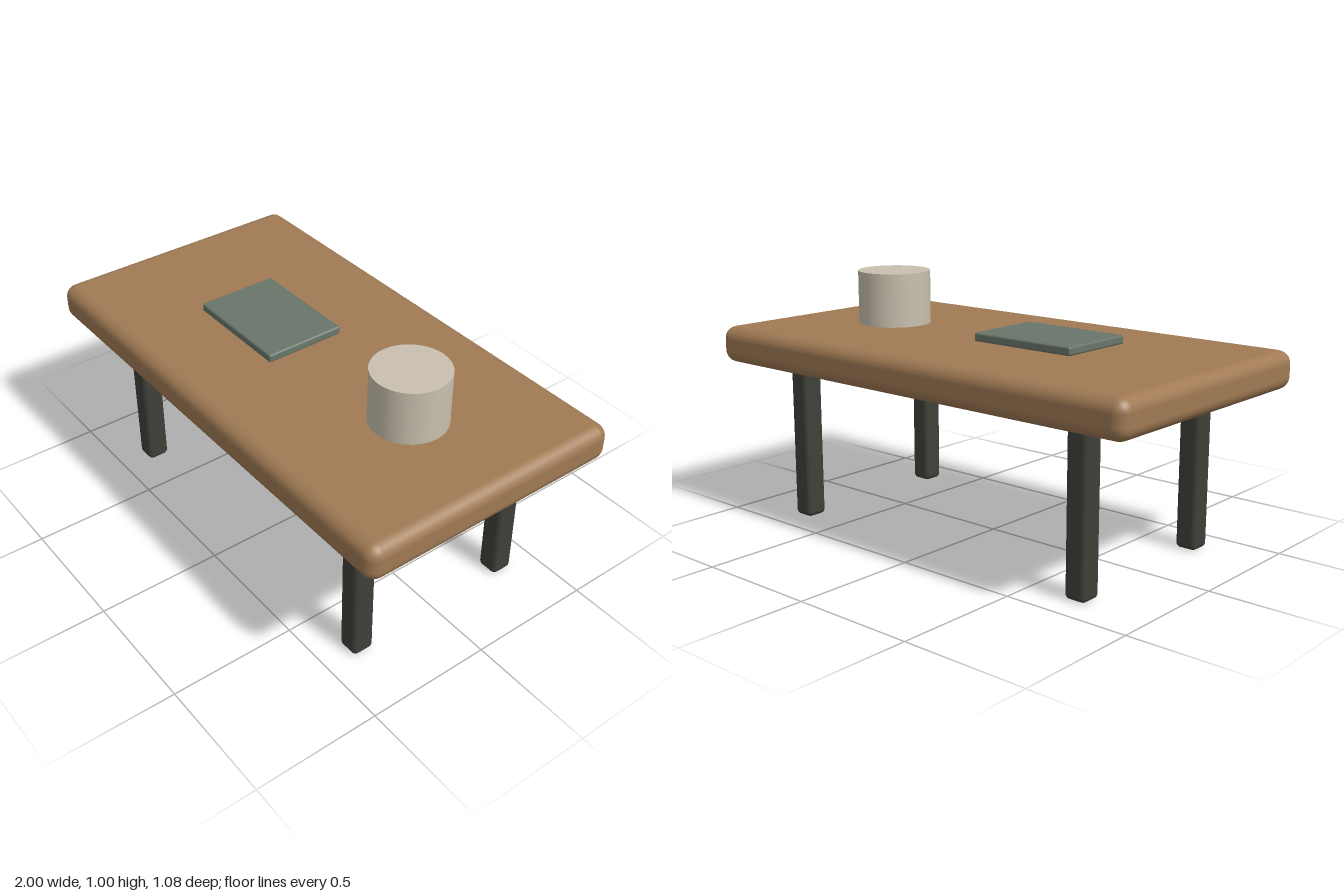
import * as THREE from 'three';
import { RoundedBoxGeometry } from 'three/addons/geometries/RoundedBoxGeometry.js';

function material(name, color) {
  const m = new THREE.MeshStandardMaterial({ color });
  m.name = name;
  return m;
}

export function createModel() {
  const table = new THREE.Group();
  table.name = 'coffeeTable';

  const wood = material('warm wood', 0xa07a54);
  const darkMetal = material('dark metal', 0x3f4039);
  const greenCover = material('grey green', 0x69766b);
  const ceramic = material('cream ceramic', 0xc9c0af);

  const add = (name, geometry, mat, x, y, z) => {
    const mesh = new THREE.Mesh(geometry, mat);
    mesh.name = name;
    mesh.position.set(x, y, z);
    table.add(mesh);
  };

  // Thick slab with softened edges
  add('tabletop', new RoundedBoxGeometry(2, 0.147, 1.08, 4, 0.05), wood, 0, 0.7065, 0);

  // Four slim legs, stopping just short of the slab
  const legGeometry = new RoundedBoxGeometry(0.09, 0.624, 0.09, 4, 0.02);
  for (const [side, x] of [['Left', 0.705], ['Right', -0.705]]) {
    for (const [end, z] of [['front', 0.346], ['back', -0.346]]) {
      add(`${end}${side}Leg`, legGeometry, darkMetal, x, 0.312, z);
    }
  }

  // Flat book and round pot on the tabletop
  add('book', new RoundedBoxGeometry(0.456, 0.034, 0.33, 3, 0.008), greenCover, -0.248, 0.803, 0.03);
  add('pot', new THREE.CylinderGeometry(0.147, 0.147, 0.216, 32), ceramic, 0.54, 0.887, 0);

  return table;
}
